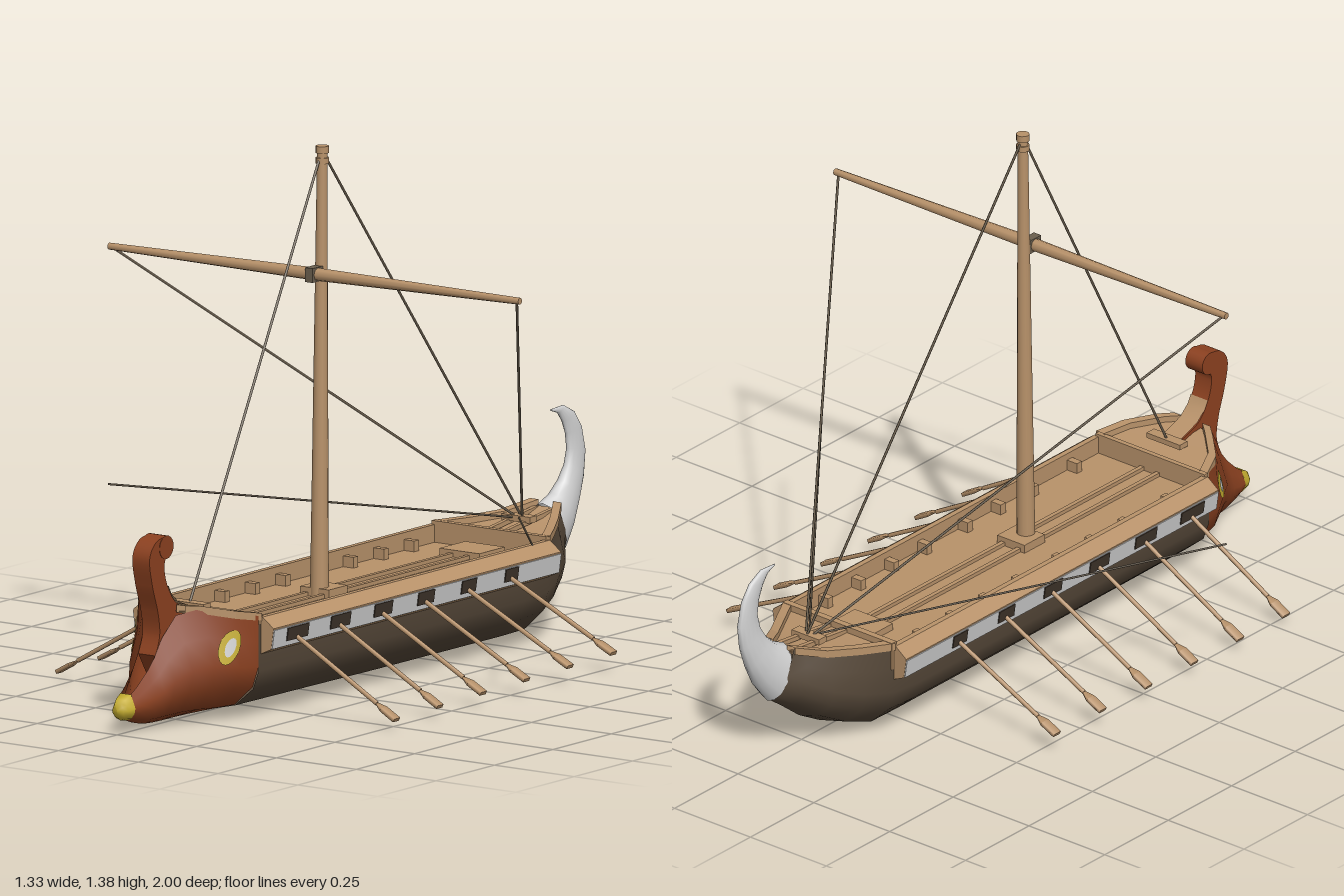
import * as THREE from 'three';

const V = (x, y, z) => new THREE.Vector3(x, y, z);
const mat = (name, color, side = THREE.FrontSide) => {
  const m = new THREE.MeshStandardMaterial({ color, side });
  m.name = name;
  return m;
};

// Joins rows of points into a skin
function loft(rows, closed = false) {
  const n = rows[0].length, pos = [], idx = [];
  rows.forEach(r => r.forEach(p => pos.push(p.x, p.y, p.z)));
  for (let i = 0; i < rows.length - 1; i++) {
    for (let j = 0; j < (closed ? n : n - 1); j++) {
      const a = i * n + j, b = i * n + (j + 1) % n;
      idx.push(a, b, a + n, b, b + n, a + n);
    }
  }
  const g = new THREE.BufferGeometry();
  g.setAttribute('position', new THREE.Float32BufferAttribute(pos, 3));
  g.setIndex(idx);
  g.computeVertexNormals();
  return g;
}

// Half section from gunwale to keel: [width, height fraction]
const half = (tw, mw) => [[tw, 1], [(tw + mw) / 2, 0.75], [mw, 0.5], [mw * 0.9, 0.3], [mw * 0.58, 0.1], [0, 0]];

// Station: [z at keel, top half width, mid half width, top y, keel y, z at top]
function section([z, tw, mw, top, bot, zt = z]) {
  const pts = half(tw, mw).map(([x, t]) => V(x, bot + (top - bot) * t, z + (zt - z) * t));
  return [...pts, ...pts.slice(0, -1).reverse().map(p => V(-p.x, p.y, p.z))];
}

const BOW = [
  [0.64, 0.18, 0.18, 0.272, 0.008], [0.70, 0.152, 0.166, 0.285, 0.008], [0.76, 0.09, 0.132, 0.3, 0.009],
  [0.81, 0.045, 0.1, 0.285, 0.009], [0.85, 0.03, 0.072, 0.23, 0.01], [0.875, 0.026, 0.059, 0.185, 0.012],
  [0.9, 0.023, 0.048, 0.155, 0.015], [0.94, 0.018, 0.036, 0.118, 0.025], [0.965, 0.015, 0.029, 0.1, 0.034]];
const STERN = [
  [-0.6, 0.18, 0.18, 0.268, 0.002], [-0.68, 0.136, 0.152, 0.272, 0.03], [-0.76, 0.09, 0.117, 0.28, 0.075],
  [-0.83, 0.055, 0.075, 0.292, 0.13, -0.8], [-0.885, 0.042, 0.045, 0.305, 0.17, -0.83]];

// Half width of the bow at a given height and z
function bowX(y, z) {
  const at = s => {
    const t = (y - s[4]) / (s[3] - s[4]), h = half(s[1], s[2]);
    const k = Math.max(0, h.findIndex((p, i) => i < 5 && t >= h[i + 1][1]));
    return THREE.MathUtils.mapLinear(t, h[k][1], h[k + 1][1], h[k][0], h[k + 1][0]);
  };
  const i = Math.max(0, BOW.findIndex((s, k) => k < BOW.length - 1 && z <= BOW[k + 1][0]));
  return THREE.MathUtils.mapLinear(z, BOW[i][0], BOW[i + 1][0], at(BOW[i]), at(BOW[i + 1]));
}

export function createModel() {
  const D = THREE.DoubleSide;
  const wood = mat('light wood', 0xb8926a, D), dark = mat('dark hull planks', 0x564839, D);
  const red = mat('rust red paint', 0x8c4120, D), silver = mat('pale grey', 0xd2d2d2, D);
  const yellow = mat('yellow', 0xc6ae30, D), rope = mat('dark rope', 0x6b5f4e), port = mat('port shadow', 0x40352b);
  const model = new THREE.Group();

  const add = (name, geo, m) => {
    const mesh = new THREE.Mesh(geo, m);
    mesh.name = name;
    model.add(mesh);
    return mesh;
  };
  const box = (name, w, h, d, x, y, z, m = wood) => {
    const mesh = add(name, new THREE.BoxGeometry(w, h, d), m);
    mesh.position.set(x, y, z);
    return mesh;
  };
  const beam = (name, a, b, ra, rb, m, sides = 8) => {
    const dir = b.clone().sub(a);
    const mesh = add(name, new THREE.CylinderGeometry(rb, ra, dir.length(), sides), m);
    mesh.position.copy(a).add(b).multiplyScalar(0.5);
    mesh.quaternion.setFromUnitVectors(V(0, 1, 0), dir.normalize());
    return mesh;
  };

  // Hull, painted bow and ram tip
  add('hull', loft([[0.64, 0.18, 0.18, 0.25, 0.008], [0.02, 0.18, 0.18, 0.25, 0.003],
    [-0.5, 0.18, 0.18, 0.25, 0.002], ...STERN].map(section)), dark);
  add('bow', loft(BOW.map(section)), red);
  add('ramTip', loft([[0.963, 0.017, 0.031, 0.102, 0.033], [0.985, 0.014, 0.025, 0.09, 0.037],
    [0.996, 0.01, 0.018, 0.082, 0.045], [1, 0, 0, 0.065, 0.06]].map(section), true), yellow);

  // Upright stem with its curled head
  const stem = new THREE.Shape();
  stem.moveTo(0.74, 0.2);
  stem.lineTo(0.7, 0.284);
  stem.splineThru([[0.78, 0.31], [0.82, 0.36], [0.834, 0.41], [0.825, 0.44]].map(p => new THREE.Vector2(...p)));
  stem.lineTo(0.825, 0.49);
  stem.splineThru([[0.87, 0.48], [0.897, 0.44], [0.885, 0.37], [0.862, 0.3], [0.854, 0.24],
    [0.872, 0.188]].map(p => new THREE.Vector2(...p)));
  stem.lineTo(0.83, 0.12);
  add('stemPost', new THREE.ExtrudeGeometry(stem, { depth: 0.054, bevelEnabled: false, curveSegments: 20 })
    .translate(0, 0, -0.027).rotateY(-Math.PI / 2), red);
  add('stemCurl', new THREE.CylinderGeometry(0.03, 0.03, 0.056, 20).rotateZ(Math.PI / 2).translate(0, 0.461, 0.826), red);
  add('stemLining', loft([[0.7, 0.288], [0.74, 0.3], [0.777, 0.314], [0.805, 0.338], [0.817, 0.36]]
    .map(([z, y]) => [V(-0.028, y, z), V(0.028, y, z)])), wood);

  // Painted eyes wrapped on the bow
  for (const s of [1, -1]) {
    [[0.047, 0.023, 0.004, yellow, 'eye'], [0.026, 0.011, 0.007, silver, 'eyeCentre']].forEach(([a, b, off, m, name]) => {
      const g = new THREE.RingGeometry(0.001, 1, 18, 5), p = g.attributes.position;
      for (let i = 0; i < p.count; i++) {
        const u = p.getX(i) * b, v = p.getY(i) * a;
        const z = 0.722 + u * 0.9 - v * 0.42, y = 0.2 + u * 0.42 + v * 0.9;
        p.setXYZ(i, s * (bowX(y, z) + off), y, z);
      }
      g.computeVertexNormals();
      add(name, g, m);
    });
  }

  // Curved stern ornament: [outer z, y, inner z, y, half width]
  const horn = [[-0.885, 0.165, -0.82, 0.305, 0.047], [-0.93, 0.22, -0.862, 0.325, 0.036], [-0.965, 0.285, -0.895, 0.355, 0.026],
    [-0.99, 0.35, -0.918, 0.39, 0.019], [-1, 0.415, -0.927, 0.43, 0.014], [-0.985, 0.48, -0.92, 0.47, 0.012],
    [-0.955, 0.522, -0.905, 0.503, 0.01], [-0.91, 0.545, -0.885, 0.528, 0.007], [-0.855, 0.542, -0.857, 0.538, 0.002]];
  add('sternHorn', loft(horn.map(([oz, oy, iz, iy, w]) => Array.from({ length: 14 }, (_, k) => {
    const a = k / 14 * Math.PI * 2, c = (1 + Math.cos(a)) / 2;
    return V(w * Math.sin(a), iy + (oy - iy) * c, iz + (oz - iz) * c);
  })), true), silver);

  // Decks: sunken main deck, raised fore and stern decks
  box('mainDeck', 0.35, 0.02, 1.25, 0, 0.212, 0.015);
  const ends = [['foreDeck', [[0.63, 0.18, 0.27], [0.7, 0.15, 0.283], [0.76, 0.088, 0.298], [0.79, 0.055, 0.3]]],
    ['sternDeck', [[-0.6, 0.18, 0.268], [-0.68, 0.136, 0.272], [-0.76, 0.09, 0.28], [-0.835, 0.045, 0.303]]]];
  for (const [name, st] of ends) {
    add(name, loft(st.map(([z, w, y]) => [V(-w, y - 0.008, z), V(w, y - 0.008, z)])), wood);
    for (const s of [1, -1]) {
      add(name + 'Rail', loft(st.map(([z, w, y]) => [[0.004, -0.012], [0.004, 0.008], [-0.022, 0.008], [-0.022, -0.012]]
        .map(([dx, dy]) => V(s * (w + dx), y + dy, z))), true).toNonIndexed(), wood)
        .geometry.computeVertexNormals();
    }
  }
  box('sternBulkhead', 0.36, 0.075, 0.018, 0, 0.24, -0.6);
  box('foreBulkhead', 0.36, 0.065, 0.014, 0, 0.242, 0.63);
  box('foreCrossbeam', 0.11, 0.014, 0.03, 0, 0.29, 0.69);
  box('sternCrossbeam', 0.09, 0.016, 0.03, 0, 0.285, -0.72);
  for (const s of [1, -1]) {
    box('deckBeam', 0.012, 0.012, 1.22, s * 0.026, 0.226, 0.015);
    box('sternBeam', 0.012, 0.012, 0.23, s * 0.026, 0.276, -0.715).rotation.x = 0.12;
  }
  box('mastStep', 0.09, 0.025, 0.08, 0, 0.232, 0.115);
  box('hatch', 0.125, 0.02, 0.11, 0, 0.23, -0.52);

  // Outriggers, benches, oar ports and oars on both sides
  const rig = [[0.17, 0.268], [0.185, 0.268], [0.22, 0.242], [0.212, 0.187], [0.17, 0.168]];
  const flare = 0.144;
  for (const s of [1, -1]) {
    const shape = new THREE.Shape(rig.map(([x, y]) => new THREE.Vector2(s * x, y)));
    add('outrigger', new THREE.ExtrudeGeometry(shape, { depth: 1.23, bevelEnabled: false }).translate(0, 0, -0.6), wood);
    box('outriggerBand', 0.004, 0.05, 1.228, s * 0.2165, 0.213, 0.015, silver).rotation.z = -s * flare;
    for (const z of [-0.47, -0.34, -0.21, -0.08, 0.08, 0.21, 0.34, 0.51])
      box('bench', 0.036, 0.028, 0.02, s * 0.156, 0.236, z);
    for (let i = 0; i < 6; i++) {
      const z = 0.527 - i * 0.183, rise = i * 0.005;
      box('oarPort', 0.007, 0.034, 0.09 - i * 0.007, s * 0.2185, 0.218, z, port).rotation.z = -s * flare;
      const a = V(s * 0.19, 0.222, z), tip = V(s * (0.53 + i * 0.002), 0.027 + rise, z);
      const neck = a.clone().lerp(tip, 0.82), shoulder = a.clone().lerp(tip, 0.88);
      beam('oarShaft', a, neck, 0.006, 0.006, wood, 6);
      [['oarNeck', neck, shoulder, 0.006], ['oarBlade', shoulder, tip, 0.016]].forEach(([name, p, q, r]) =>
        beam(name, p, q, r, 0.016, wood, 4).geometry.rotateY(Math.PI / 4).scale(0.45, 1, 1.1));
    }
  }

  // Mast with cap, yard and its lashing
  beam('mast', V(0, 0.22, 0.134), V(0, 1.37, 0.122), 0.024, 0.013, wood, 14);
  beam('mastCollar', V(0, 1.335, 0.122), V(0, 1.35, 0.122), 0.017, 0.017, wood, 12);
  beam('mastCap', V(0, 1.362, 0.122), V(0, 1.38, 0.122), 0.017, 0.017, wood, 12);
  const mid = V(0, 1.055, 0.157);
  beam('yardRight', mid, V(-0.635, 1.053, 0.166), 0.017, 0.009, wood);
  beam('yardLeft', mid, V(0.635, 1.057, 0.142), 0.017, 0.009, wood);
  box('yardLashing', 0.024, 0.037, 0.046, 0, 1.055, 0.157, rope);

  // Rigging
  const line = (a, b, r = 0.0035) => beam('rope', a, b, r, r, rope, 5);
  line(V(0, 1.365, 0.125), V(0, 0.29, 0.69));
  line(V(0, 1.365, 0.12), V(0, 0.288, -0.73));
  for (const s of [1, -1]) {
    line(V(s * 0.625, 1.05, 0.153 - s * 0.011), V(s * 0.01, 0.288, -0.72));
    line(V(s * 0.665, 0.43, 0.13), V(0, 0.285, -0.72), 0.0028);
  }
  return model;
}
